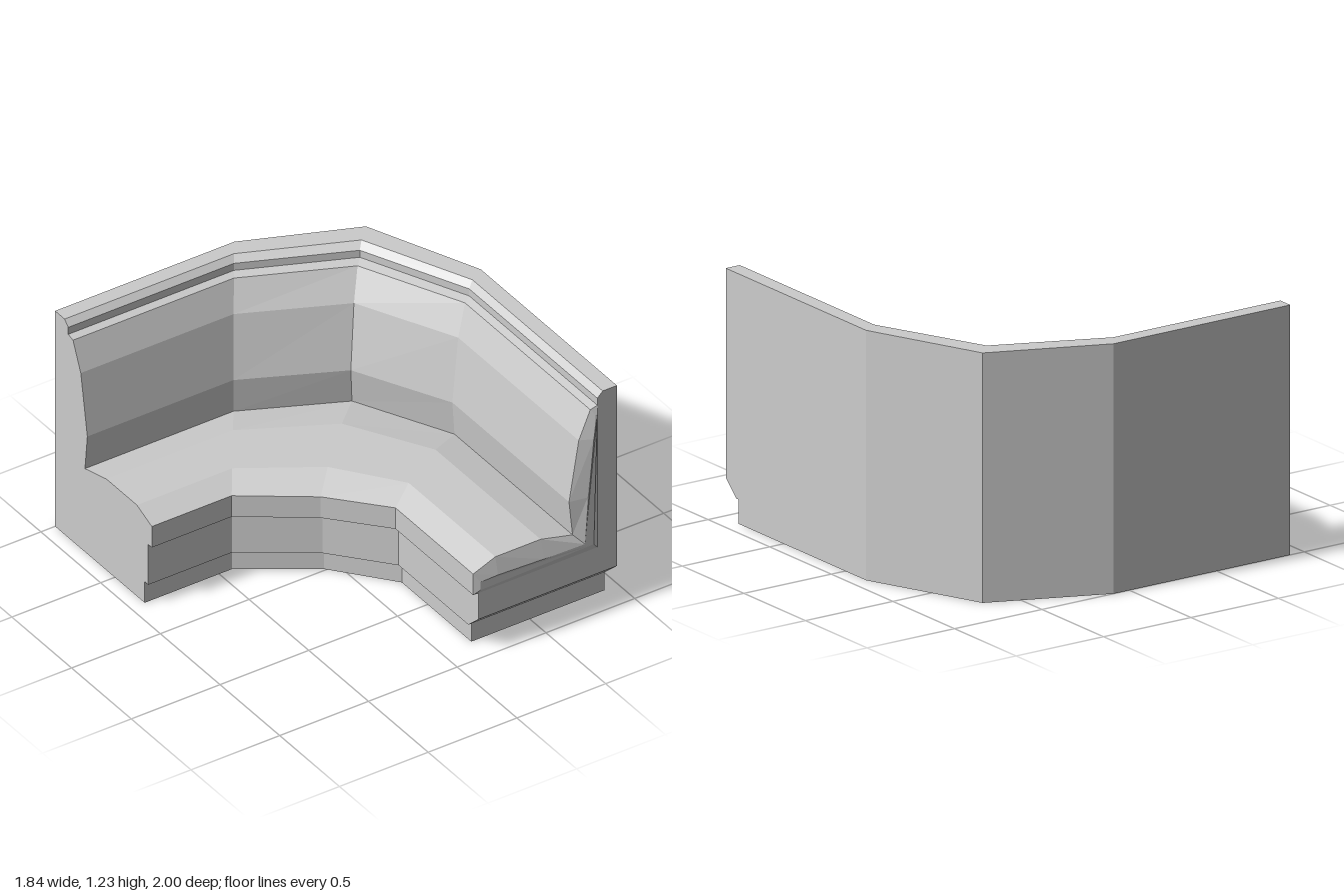
import * as THREE from 'three';

// Plan of the bench: outer (back wall) and inner (seat front) corners as [x, z]
const OUTER = [[-0.92, -1], [0.09, -1], [0.67, -0.76], [0.92, -0.17], [0.92, 0.97]];
const INNER = [[-0.92, -0.19], [-0.47, -0.19], [-0.13, 0.05], [0.11, 0.32], [0.11, 0.97]];
const DEPTH = 0.81;

// Places a profile of [depth from back, height] at every corner of the plan
function sweepRings(profile, endZ = () => 0.97) {
  return OUTER.map(([ox, oz], s) => profile.map(([d, y]) => {
    const t = d / DEPTH;
    const x = ox + (INNER[s][0] - ox) * t;
    const z = s === OUTER.length - 1 ? endZ(y) : oz + (INNER[s][1] - oz) * t;
    return [x, y, z];
  }));
}

// Joins closed rings into a capped, faceted solid
function loft(name, rings, startProfile, endProfile) {
  const positions = [];
  const tri = (...points) => points.forEach((p) => positions.push(...p));
  const n = rings[0].length;
  for (let s = 0; s < rings.length - 1; s++) {
    for (let i = 0; i < n; i++) {
      const j = (i + 1) % n;
      const [a, b] = [rings[s], rings[s + 1]];
      tri(a[i], b[i], b[j]);
      tri(a[i], b[j], a[j]);
    }
  }
  const cap = (ring, profile, flip) => {
    const contour = profile.map(([d, y]) => new THREE.Vector2(d, y));
    for (const [a, b, c] of THREE.ShapeUtils.triangulateShape(contour, [])) {
      if (flip) tri(ring[a], ring[c], ring[b]);
      else tri(ring[a], ring[b], ring[c]);
    }
  };
  cap(rings[0], startProfile, false);
  cap(rings[rings.length - 1], endProfile, true);

  const geometry = new THREE.BufferGeometry();
  geometry.setAttribute('position', new THREE.Float32BufferAttribute(positions, 3));
  geometry.computeVertexNormals();
  const material = new THREE.MeshStandardMaterial({ color: 0xcccccc, flatShading: true });
  const mesh = new THREE.Mesh(geometry, material);
  mesh.name = name;
  return mesh;
}

export function createModel() {
  const group = new THREE.Group();
  group.name = 'cornerBench';

  // Recessed plinth; its back and top run flush with the wall
  const plinth = [[0, 0], [0.75, 0], [0.75, 0.12], [0, 0.12]];
  group.add(loft('plinth', sweepRings(plinth, () => 0.865), plinth, plinth));

  // Seat box and back wall in one shell, chamfered under the front end
  const shell = [
    [0, 0.12], [0.78, 0.12], [0.78, 0.2], [0.78, 0.35], [0.11, 0.35],
    [0.11, 1.2], [0.08, 1.23], [0, 1.23], [0, 0.2],
  ];
  const shellEnd = (y) => (y < 0.15 ? 0.885 : 0.97);
  group.add(loft('seatBoxAndBackWall', sweepRings(shell, shellEnd), shell, shell));

  // Seat and backrest upholstery
  const cushion = [
    [0.81, 0.35], [0.81, 0.47], [0.685, 0.52], [0.43, 0.52], [0.25, 0.475],
    [0.27, 0.67], [0.215, 1.0], [0.15, 1.15], [0.11, 1.16], [0.11, 0.35],
  ];
  // Padded front end: the outline shrinks as it bulges forward [depth, height, z]
  const bulge = [
    [0.78, 0.375, 0.985], [0.78, 0.42, 0.985], [0.685, 0.43, 0.993], [0.43, 0.425, 1], [0.2, 0.42, 1],
    [0.185, 0.68, 1], [0.15, 1.0, 1], [0.13, 1.12, 0.985], [0.12, 1.12, 0.985], [0.15, 0.4, 1],
  ];
  const rings = sweepRings(cushion);
  rings.push(bulge.map(([d, y, z]) => [0.92 - d, y, z]));
  group.add(loft('seatAndBackCushion', rings, cushion, bulge));

  return group;
}
